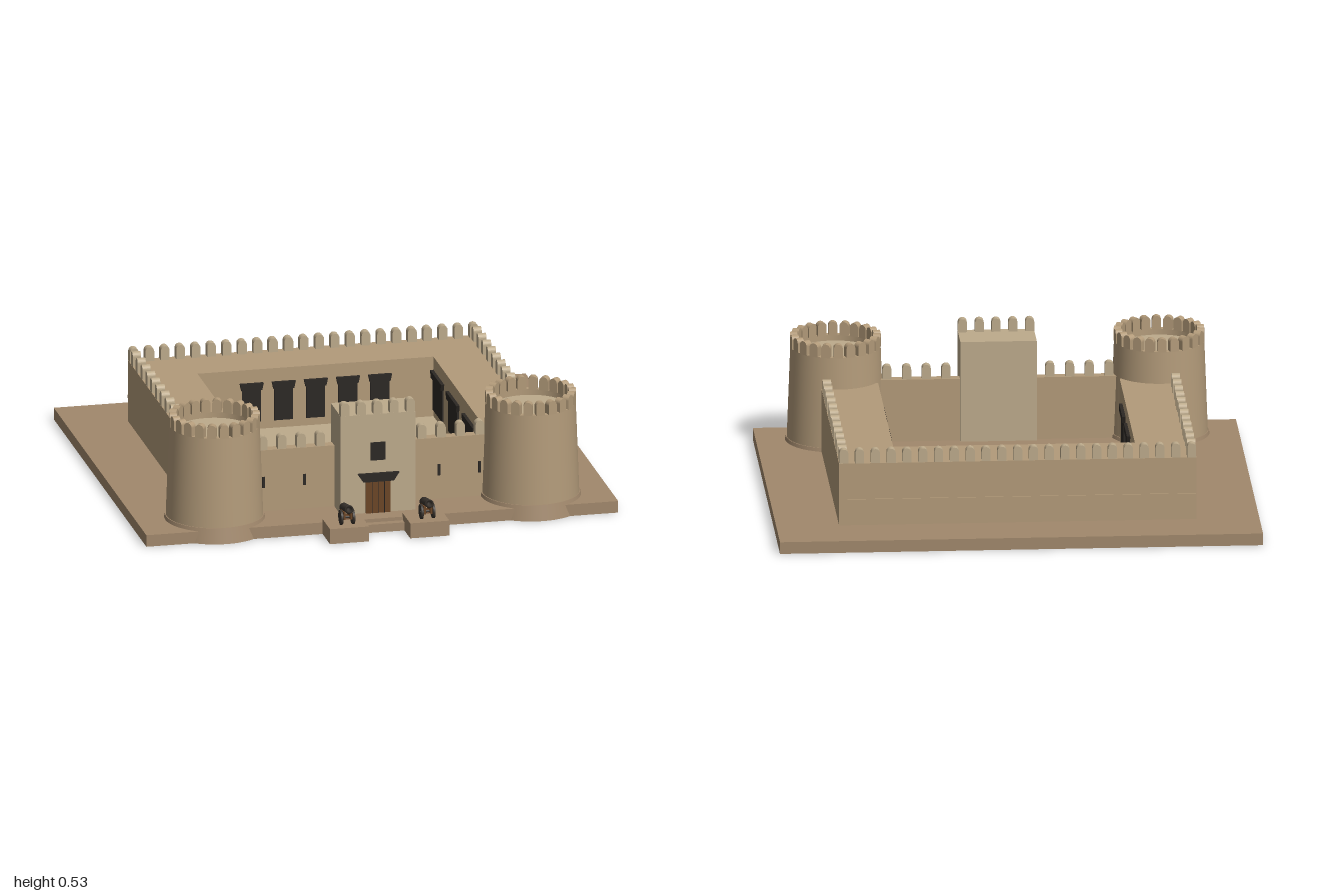
import * as THREE from 'three';

const mat = (color) => new THREE.MeshStandardMaterial({ color, side: THREE.DoubleSide });
const ground = mat(0xa1886c), stone = mat(0xb39b7a), pale = mat(0xbdab8c);
const dark = mat(0x2c2824), iron = mat(0x3a342e), wood = mat(0x6b4526);

function add(parent, name, geo, material, x = 0, y = 0, z = 0) {
  const m = new THREE.Mesh(geo, material);
  m.name = name;
  m.position.set(x, y, z);
  parent.add(m);
  return m;
}

// Box given by its min and max on each axis
function block(parent, name, material, x0, x1, y0, y1, z0, z1) {
  return add(parent, name, new THREE.BoxGeometry(x1 - x0, y1 - y0, z1 - z0), material,
    (x0 + x1) / 2, (y0 + y1) / 2, (z0 + z1) / 2);
}

// Round-topped merlon, standing on y = 0, centred in depth
function merlonGeometry(w, h, d) {
  const s = new THREE.Shape();
  s.moveTo(-w / 2, 0);
  s.lineTo(w / 2, 0);
  s.lineTo(w / 2, h - w / 2);
  s.absarc(0, h - w / 2, w / 2, 0, Math.PI, false);
  s.closePath();
  return new THREE.ExtrudeGeometry(s, { depth: d, bevelEnabled: false, curveSegments: 10 }).translate(0, 0, -d / 2);
}
const merlon = merlonGeometry(0.037, 0.062, 0.035);

// Straight row of merlons from one point to another
function merlonRow(parent, name, count, x0, z0, x1, z1, y) {
  const row = new THREE.Group();
  row.name = name;
  for (let i = 0; i < count; i++) {
    const t = i / (count - 1);
    const m = add(row, 'merlon', merlon, pale, x0 + (x1 - x0) * t, y, z0 + (z1 - z0) * t);
    if (x0 === x1) m.rotation.y = Math.PI / 2;
  }
  parent.add(row);
}

// Dark opening with a lintel that widens upwards, facing +z, standing on y = 0
function opening(parent, name, w, h, material, lintelHeight, over) {
  const g = new THREE.Group();
  g.name = name;
  block(g, 'panel', material, -w / 2, w / 2, 0, h, -0.004, 0.007);
  const s = new THREE.Shape();
  s.moveTo(-w / 2 - over * 0.35, h - lintelHeight * 0.4);
  s.lineTo(w / 2 + over * 0.35, h - lintelHeight * 0.4);
  s.lineTo(w / 2 + over, h + lintelHeight * 0.6);
  s.lineTo(-w / 2 - over, h + lintelHeight * 0.6);
  s.closePath();
  add(g, 'lintel', new THREE.ExtrudeGeometry(s, { depth: 0.014, bevelEnabled: false }), dark);
  parent.add(g);
  return g;
}

function roundTower(x, z) {
  const g = new THREE.Group();
  g.name = 'cornerTower';
  g.position.set(x, 0, z);
  add(g, 'skirt', new THREE.CylinderGeometry(0.205, 0.22, 0.065, 48), ground, 0, 0.0325, 0);
  add(g, 'towerWall', new THREE.CylinderGeometry(0.187, 0.202, 0.4, 48, 1, true), stone, 0, 0.25, 0);
  add(g, 'rim', new THREE.RingGeometry(0.162, 0.187, 48).rotateX(-Math.PI / 2), stone, 0, 0.45, 0);
  add(g, 'innerRim', new THREE.CylinderGeometry(0.162, 0.162, 0.03, 48, 1, true), stone, 0, 0.435, 0);
  add(g, 'deck', new THREE.CircleGeometry(0.163, 48).rotateX(-Math.PI / 2), pale, 0, 0.425, 0);
  const tooth = merlonGeometry(0.038, 0.058, 0.03);
  for (let i = 0; i < 22; i++) {
    const a = (i / 22) * Math.PI * 2;
    const m = add(g, 'merlon', tooth, stone, Math.sin(a) * 0.172, 0.448, Math.cos(a) * 0.172);
    m.rotation.y = a;
  }
  return g;
}

function cannon(x) {
  const g = new THREE.Group();
  g.name = 'cannon';
  g.position.set(x, 0.065, 0.865);
  // Barrel pointing forwards and slightly up
  const profile = [[0, -0.065], [0.009, -0.062], [0.009, -0.054], [0.019, -0.05], [0.018, 0],
    [0.013, 0.042], [0.018, 0.046], [0.018, 0.056], [0.01, 0.056], [0.01, 0.035], [0, 0.035]];
  const barrel = add(g, 'barrel', new THREE.LatheGeometry(profile.map(p => new THREE.Vector2(...p)), 18), iron, 0, 0.066, -0.002);
  barrel.rotation.x = Math.PI / 2 - 0.22;
  for (const s of [-1, 1]) {
    add(g, 'wheel', new THREE.CylinderGeometry(0.031, 0.031, 0.009, 20).rotateZ(Math.PI / 2), iron, s * 0.025, 0.031, 0.005);
    block(g, 'carriageCheek', wood, s * 0.014 - 0.004, s * 0.014 + 0.004, 0.025, 0.058, -0.04, 0.028);
  }
  add(g, 'axle', new THREE.CylinderGeometry(0.006, 0.006, 0.06, 10).rotateZ(Math.PI / 2), iron, 0, 0.031, 0.005);
  const trail = block(g, 'trail', wood, -0.01, 0.01, 0.014, 0.03, -0.065, 0.01);
  trail.rotation.x = -0.2;
  return g;
}

export function createModel() {
  const fort = new THREE.Group();
  fort.name = 'fort';

  // Ground slab, courtyard and door step
  block(fort, 'groundSlab', ground, -1, 1, 0, 0.05, -0.925, 0.785);
  block(fort, 'courtyardFloor', pale, -0.5, 0.5, 0.045, 0.056, -0.45, 0.39);
  block(fort, 'doorStep', ground, -0.09, 0.09, 0, 0.035, 0.78, 0.815);

  // Back range and the two side ranges
  block(fort, 'backRange', stone, -0.74, 0.74, 0.045, 0.315, -0.69, -0.45);
  block(fort, 'backLedge', stone, -0.74, 0.74, 0.148, 0.162, -0.695, -0.685);
  merlonRow(fort, 'backMerlons', 23, -0.72, -0.672, 0.72, -0.672, 0.313);

  // Curtain wall beside the gate
  block(fort, 'curtainWall', stone, -0.5, 0.5, 0.045, 0.315, 0.543, 0.587);

  for (const s of [-1, 1]) {
    const x0 = Math.min(s * 0.5, s * 0.74), x1 = Math.max(s * 0.5, s * 0.74);
    block(fort, 'sideRange', stone, x0, x1, 0.045, 0.315, -0.45, 0.5);
    merlonRow(fort, 'sideMerlons', 12, s * 0.722, -0.617, s * 0.722, 0.358, 0.313);
    merlonRow(fort, 'curtainMerlons', 4, s * 0.215, 0.567, s * 0.46, 0.567, 0.313);
    fort.add(roundTower(s * 0.67, 0.605));
    for (const x of [0.285, 0.458])
      block(fort, 'arrowSlit', dark, s * x - 0.006, s * x + 0.006, 0.152, 0.2, 0.58, 0.59);
    // Courtyard openings in the side ranges
    for (const z of [-0.35, -0.065, 0.23]) {
      const o = opening(fort, 'sideOpening', 0.17, 0.15, dark, 0.03, 0.017);
      o.position.set(s * 0.5, 0.09, z);
      o.rotation.y = -s * Math.PI / 2;
    }
    // Cannon on its platform
    block(fort, 'cannonPlatform', ground, s * 0.17 - 0.083, s * 0.17 + 0.083, 0, 0.065, 0.78, 0.922);
    fort.add(cannon(s * 0.17));
  }

  // Courtyard openings in the back range
  for (let i = -2; i <= 2; i++)
    opening(fort, 'backOpening', 0.08, 0.15, dark, 0.03, 0.01).position.set(i * 0.136, 0.09, -0.45);

  // Gatehouse
  block(fort, 'gatehouse', pale, -0.158, 0.158, 0.045, 0.478, 0.523, 0.705);
  merlonRow(fort, 'gateMerlons', 5, -0.139, 0.687, 0.139, 0.687, 0.472);
  block(fort, 'gateWindow', dark, -0.031, 0.031, 0.278, 0.356, 0.7, 0.709);
  opening(fort, 'gateDoor', 0.104, 0.152, wood, 0.036, 0.036).position.set(0, 0.05, 0.705);
  for (const x of [-0.026, 0, 0.026])
    block(fort, 'doorSeam', dark, x - 0.0012, x + 0.0012, 0.05, 0.19, 0.708, 0.713);
  return fort;
}
